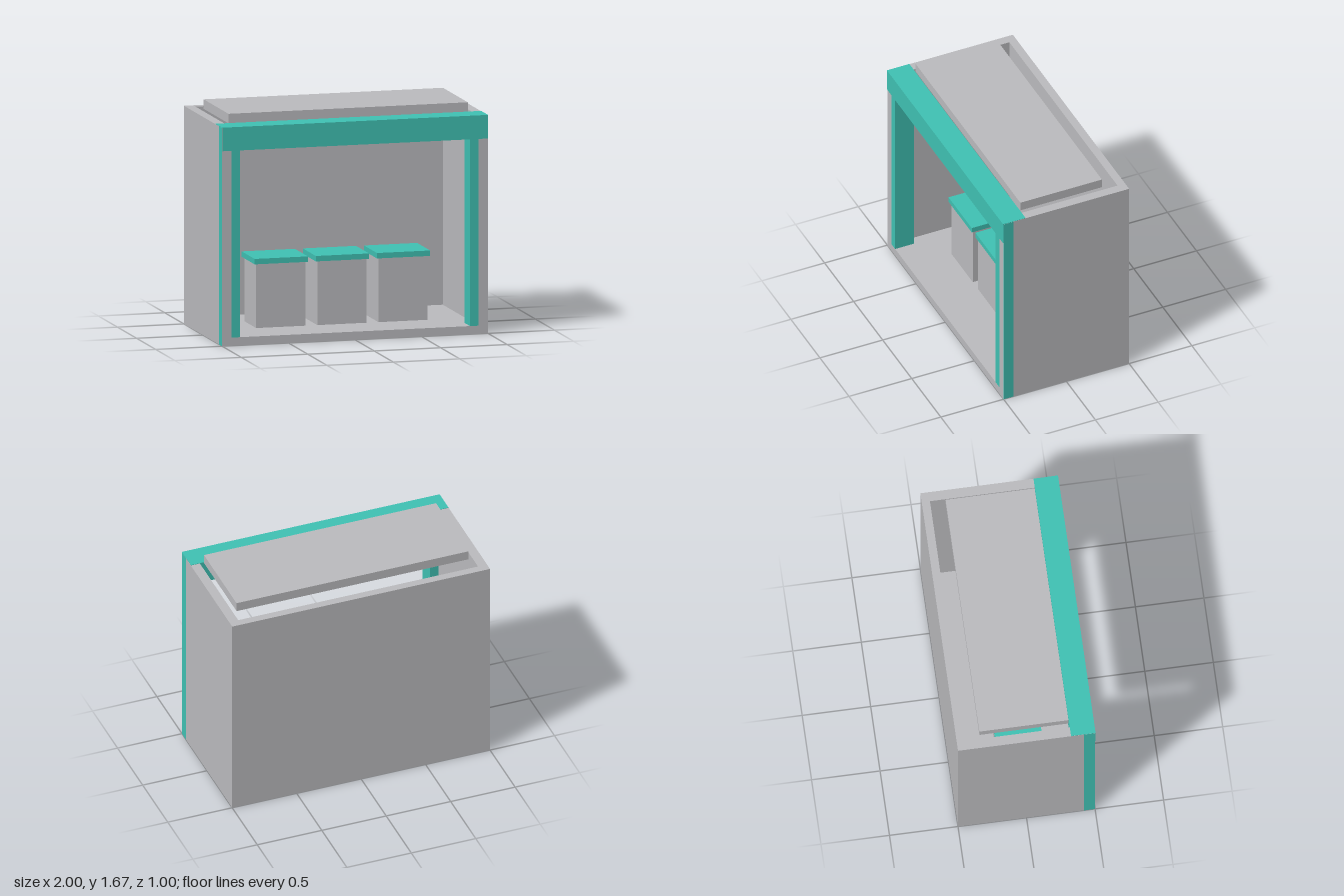
import * as THREE from 'three';

export function createModel() {
  const model = new THREE.Group();
  model.name = 'kiosk';

  const grey = new THREE.MeshStandardMaterial({ color: 0xbcbcbf });
  grey.name = 'wall grey';
  const teal = new THREE.MeshStandardMaterial({ color: 0x40c2b4 });
  teal.name = 'trim teal';

  // Axis-aligned box given by its extents on each axis
  function box(name, material, [x0, x1], [y0, y1], [z0, z1], parent = model) {
    const mesh = new THREE.Mesh(new THREE.BoxGeometry(x1 - x0, y1 - y0, z1 - z0), material);
    mesh.position.set((x0 + x1) / 2, (y0 + y1) / 2, (z0 + z1) / 2);
    mesh.name = name;
    parent.add(mesh);
    return mesh;
  }

  // Open-fronted shell
  box('floor', grey, [-0.93, 0.93], [0, 0.06], [-0.44, 0.5]);
  box('backWall', grey, [-0.93, 0.93], [0, 1.6], [-0.5, -0.44]);

  // Side walls with the front posts and their narrow outer trim
  for (const [side, s] of [['left', 1], ['right', -1]]) {
    const span = (a, b) => (s > 0 ? [a, b] : [-b, -a]);
    box(side + 'Wall', grey, span(0.93, 1), [0, 1.6], [-0.5, 0.5]);
    box(side + 'Post', teal, span(0.865, 0.93), [0.06, 1.43], [0.35, 0.5]);
    box(side + 'SideTrim', teal, span(0.998, 1.001), [0, 1.6], [0.42, 0.499]);
  }

  // Front beam, and the roof panel raised over the open top
  box('frontBeam', teal, [-1, 1], [1.43, 1.603], [0.325, 0.504]).scale.x = 0.999;
  box('roofPanel', grey, [-0.9, 0.9], [1.6, 1.67], [-0.33, 0.32]);

  // Row of three stools
  [-0.46, 0, 0.46].forEach((x) => {
    const stool = new THREE.Group();
    stool.name = 'stool';
    stool.position.x = x;
    box('stoolBase', grey, [-0.185, 0.185], [0.06, 0.53], [-0.155, 0.155], stool);
    box('stoolSeat', teal, [-0.2, 0.2], [0.53, 0.57], [-0.17, 0.17], stool);
    model.add(stool);
  });

  return model;
}
